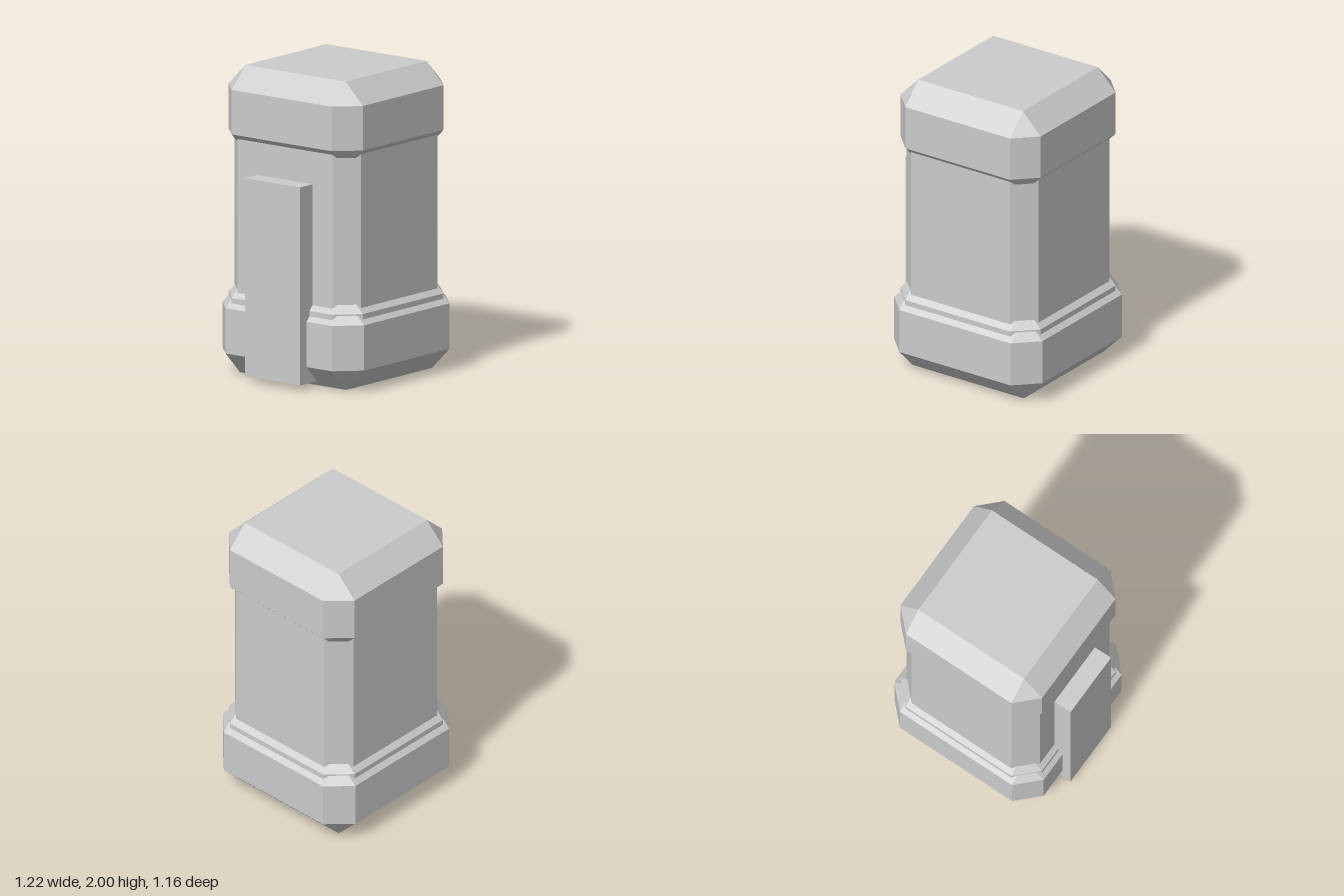
import * as THREE from 'three';
import { ConvexGeometry } from 'three/addons/geometries/ConvexGeometry.js';

const material = new THREE.MeshStandardMaterial({ color: 0xcccccc, flatShading: true });
const CENTRE_X = 0.03; // the bollard sits slightly off-centre because of the side panel

// Square block with every edge chamfered: each corner is cut into a triangle
function chamferedBlock(name, half, bottom, top, bevel) {
  const h = (top - bottom) / 2;
  const points = [];
  for (const sx of [-1, 1]) for (const sy of [-1, 1]) for (const sz of [-1, 1]) {
    const inner = half - bevel;
    points.push(
      new THREE.Vector3(sx * half, sy * (h - bevel), sz * inner),
      new THREE.Vector3(sx * inner, sy * h, sz * inner),
      new THREE.Vector3(sx * inner, sy * (h - bevel), sz * half),
    );
  }
  const mesh = new THREE.Mesh(new ConvexGeometry(points), material);
  mesh.name = name;
  mesh.position.set(CENTRE_X, (bottom + top) / 2, 0);
  return mesh;
}

export function createModel() {
  const group = new THREE.Group();
  group.name = 'pillar';

  // Stacked blocks: wide foot, stepped collar, slimmer shaft and overhanging cap
  group.add(
    chamferedBlock('base', 0.58, 0, 0.585, 0.145),
    chamferedBlock('collar', 0.55, 0.075, 0.645, 0.14),
    chamferedBlock('shaft', 0.518, 0.2, 1.8, 0.13),
    chamferedBlock('cap', 0.55, 1.43, 2, 0.14),
  );

  // Upright panel set into the right side
  const panel = new THREE.Mesh(new THREE.BoxGeometry(0.225, 1.29, 0.45), material);
  panel.name = 'sidePanel';
  panel.position.set(-0.5, 0.68, 0);
  group.add(panel);

  return group;
}
